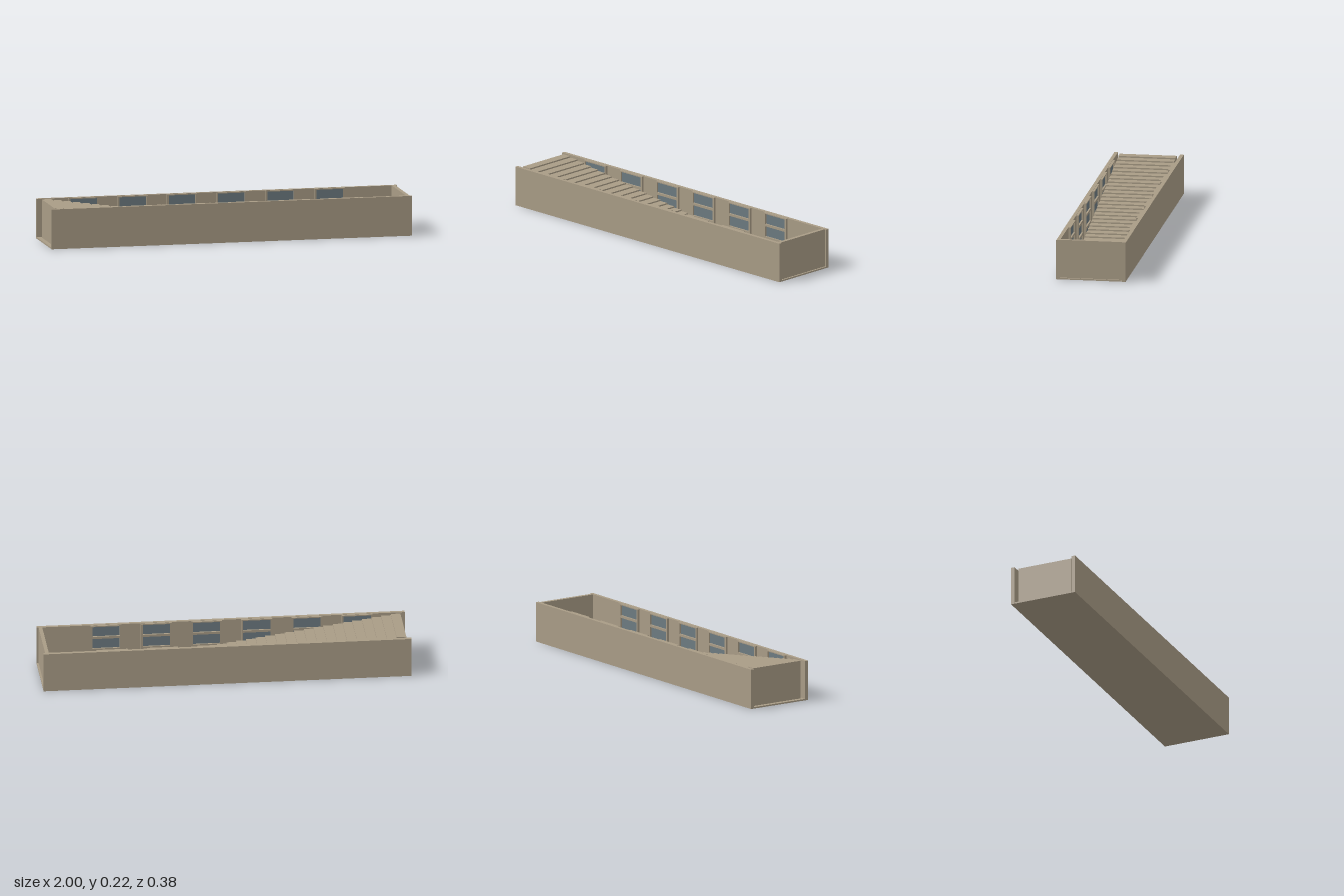
import * as THREE from 'three';

export function createModel() {
  const model = new THREE.Group();
  model.name = 'sunkenStairway';
  const stone = new THREE.MeshStandardMaterial({ color: 0xa99c86 });
  stone.name = 'tan stone';
  const glass = new THREE.MeshStandardMaterial({ color: 0x6c7a80 });
  glass.name = 'blue grey pane';

  const H = 0.218, FLOOR = 0.008, INNER = 0.17;

  // Box given by its lower and upper limits on each axis
  function box(name, material, x0, x1, y0, y1, z0, z1, parent = model) {
    const mesh = new THREE.Mesh(new THREE.BoxGeometry(x1 - x0, y1 - y0, z1 - z0), material);
    mesh.position.set((x0 + x1) / 2, (y0 + y1) / 2, (z0 + z1) / 2);
    mesh.name = name;
    parent.add(mesh);
    return mesh;
  }

  // Shell: floor, long walls and the recessed end wall
  box('floor', stone, -1, 1, 0, FLOOR, -0.19, 0.19);
  box('frontWall', stone, -1, 1, FLOOR, H, INNER, 0.19);
  box('backWall', stone, -1, 1, FLOOR, H, -0.19, -INNER);
  box('endWall', stone, 0.97, 0.99, FLOOR, H, -INNER, INNER);

  // Straight flight of steps, climbing towards -x
  const STEPS = 28, LOW = 0.495, HIGH = -0.975;
  const run = (LOW - HIGH) / STEPS, rise = (H - 0.001 - FLOOR) / STEPS;
  const profile = new THREE.Shape();
  profile.moveTo(HIGH, FLOOR);
  profile.lineTo(LOW, FLOOR);
  for (let i = 0; i < STEPS; i++) {
    const y = FLOOR + (i + 1) * rise;
    profile.lineTo(LOW - i * run, y);
    profile.lineTo(LOW - (i + 1) * run, y);
  }
  profile.closePath();
  const WIDTH = 0.312;
  const stairGeometry = new THREE.ExtrudeGeometry(profile, { depth: WIDTH, bevelEnabled: false });
  stairGeometry.translate(0, 0, -WIDTH / 2);
  const stairs = new THREE.Mesh(stairGeometry, stone);
  stairs.name = 'stairs';
  model.add(stairs);

  // Tall framed panels of three panes, six along each long wall
  const FIRST = -0.741, PITCH = 0.273, HALF = 0.084, ROWS = 3;
  const rowHeight = (H - FLOOR) / ROWS, post = 0.01, bar = 0.013, proud = 0.012;
  for (const side of [-1, 1]) {
    // Depth limits for a part standing out from the wall by d
    const depth = d => (side < 0 ? [-INNER, -INNER + d] : [INNER - d, INNER]);
    for (let i = 0; i < 6; i++) {
      const x = FIRST + i * PITCH;
      const panel = new THREE.Group();
      panel.name = 'windowPanel';
      model.add(panel);
      for (const s of [-1, 1]) {
        const cx = x + s * (HALF - post / 2);
        box('framePost', stone, cx - post / 2, cx + post / 2, FLOOR, H - 0.001, ...depth(proud), panel);
      }
      for (let r = 0; r < ROWS; r++) {
        const y0 = FLOOR + r * rowHeight, y1 = y0 + rowHeight;
        box('pane', glass, x - HALF + post, x + HALF - post, y0 + bar / 2, y1 - bar / 2, ...depth(0.003), panel);
      }
      for (let r = 0; r <= ROWS; r++) {
        const y = FLOOR + r * rowHeight;
        box('crossBar', stone, x - HALF + post, x + HALF - post,
          Math.max(y - bar / 2, FLOOR), Math.min(y + bar / 2, H - 0.001), ...depth(proud), panel);
      }
    }
  }
  return model;
}
